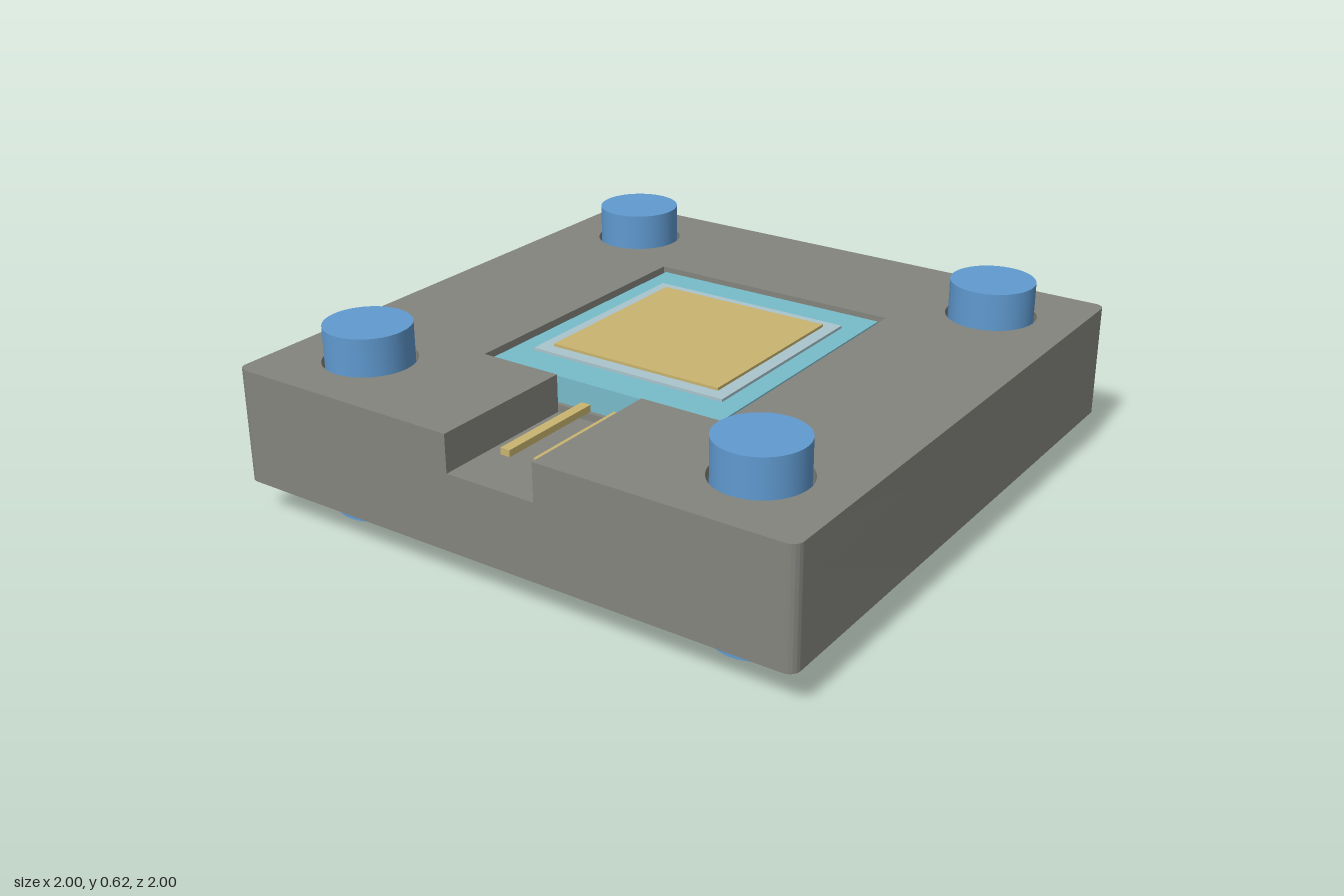
import * as THREE from 'three';
import { toCreasedNormals } from 'three/addons/utils/BufferGeometryUtils.js';

const mat = (name, color) => {
  const m = new THREE.MeshStandardMaterial({ color });
  m.name = name;
  return m;
};

const POST = 0.715;      // post offset from the centre
const CHANNEL = 0.158;   // half width of the lead channel
const corners = [[-1, -1], [1, -1], [1, 1], [-1, 1]];

// Rounded plate outline in plan (shape y = -z); notch points are cut into the front edge
function plateShape(notch = []) {
  const r = 0.035, s = new THREE.Shape();
  s.moveTo(-1 + r, -1);
  notch.forEach(([x, y]) => s.lineTo(x, y));
  s.lineTo(1 - r, -1);
  s.absarc(1 - r, -1 + r, r, -Math.PI / 2, 0);
  s.absarc(1 - r, 1 - r, r, 0, Math.PI / 2);
  s.absarc(-1 + r, 1 - r, r, Math.PI / 2, Math.PI);
  s.absarc(-1 + r, -1 + r, r, Math.PI, Math.PI * 1.5);
  for (const [sx, sz] of corners) {
    s.holes.push(new THREE.Path().absarc(sx * POST, sz * POST, 0.15, 0, Math.PI * 2, true));
  }
  return s;
}

function squareHole(h) {
  const p = new THREE.Path();
  p.moveTo(-h, -h);
  p.lineTo(-h, h);
  p.lineTo(h, h);
  p.lineTo(h, -h);
  p.closePath();
  return p;
}

export function createModel() {
  const grey = mat('housing grey', 0x84847e);
  const blue = mat('post blue', 0x609ad0);
  const teal = mat('block teal', 0x78bcca);
  const silver = mat('plate silver', 0xaac4cc);
  const gold = mat('gold', 0xc9b570);

  const group = new THREE.Group();
  const add = (name, geometry, material, x = 0, y = 0, z = 0, parent = group) => {
    const mesh = new THREE.Mesh(geometry, material);
    mesh.name = name;
    mesh.position.set(x, y, z);
    parent.add(mesh);
    return mesh;
  };
  // Box given by its footprint and bottom/top heights
  const slab = (name, w, d, y0, y1, material, x = 0, z = 0) =>
    add(name, new THREE.BoxGeometry(w, y1 - y0, d), material, x, (y0 + y1) / 2, z);

  // Housing in three layers: base, channel floor step, pocket walls
  const housing = new THREE.Group();
  housing.name = 'housing';
  group.add(housing);
  const layer = (name, shape, y0, y1) => {
    const g = new THREE.ExtrudeGeometry(shape, { depth: y1 - y0, bevelEnabled: false, curveSegments: 20 });
    g.rotateX(-Math.PI / 2);
    add(name, toCreasedNormals(g, 0.6), grey, 0, y0, 0, housing);
  };

  const base = plateShape();
  base.holes.push(squareHole(0.315));
  layer('housingBase', base, 0.12, 0.375);

  const px = 0.445, pz = 0.488;
  const step = plateShape([[-CHANNEL, -1], [-CHANNEL, -pz], [CHANNEL, -pz], [CHANNEL, -1]]);
  step.holes.push(squareHole(0.315));
  layer('housingStep', step, 0.375, 0.4);

  layer('housingWalls', plateShape([
    [-CHANNEL, -1], [-CHANNEL, -pz], [-px, -pz], [-px, pz],
    [px, pz], [px, -pz], [CHANNEL, -pz], [CHANNEL, -1],
  ]), 0.4, 0.5);

  // Stacked module in the pocket
  slab('moduleBlock', 0.85, 0.946, 0.4, 0.488, teal);
  slab('framePlate', 0.71, 0.71, 0.488, 0.497, silver);
  slab('contactPlate', 0.62, 0.62, 0.497, 0.506, gold);

  // Two leads lying along the channel
  for (const side of [-1, 1]) {
    slab('lead', 0.034, 0.385, 0.4, 0.422, gold, side * 0.061, 0.663);
  }

  // Corner posts passing through the housing
  for (const [sx, sz] of corners) {
    add('post', new THREE.CylinderGeometry(0.14, 0.14, 0.62, 48), blue, sx * POST, 0.31, sz * POST);
  }

  return group;
}
